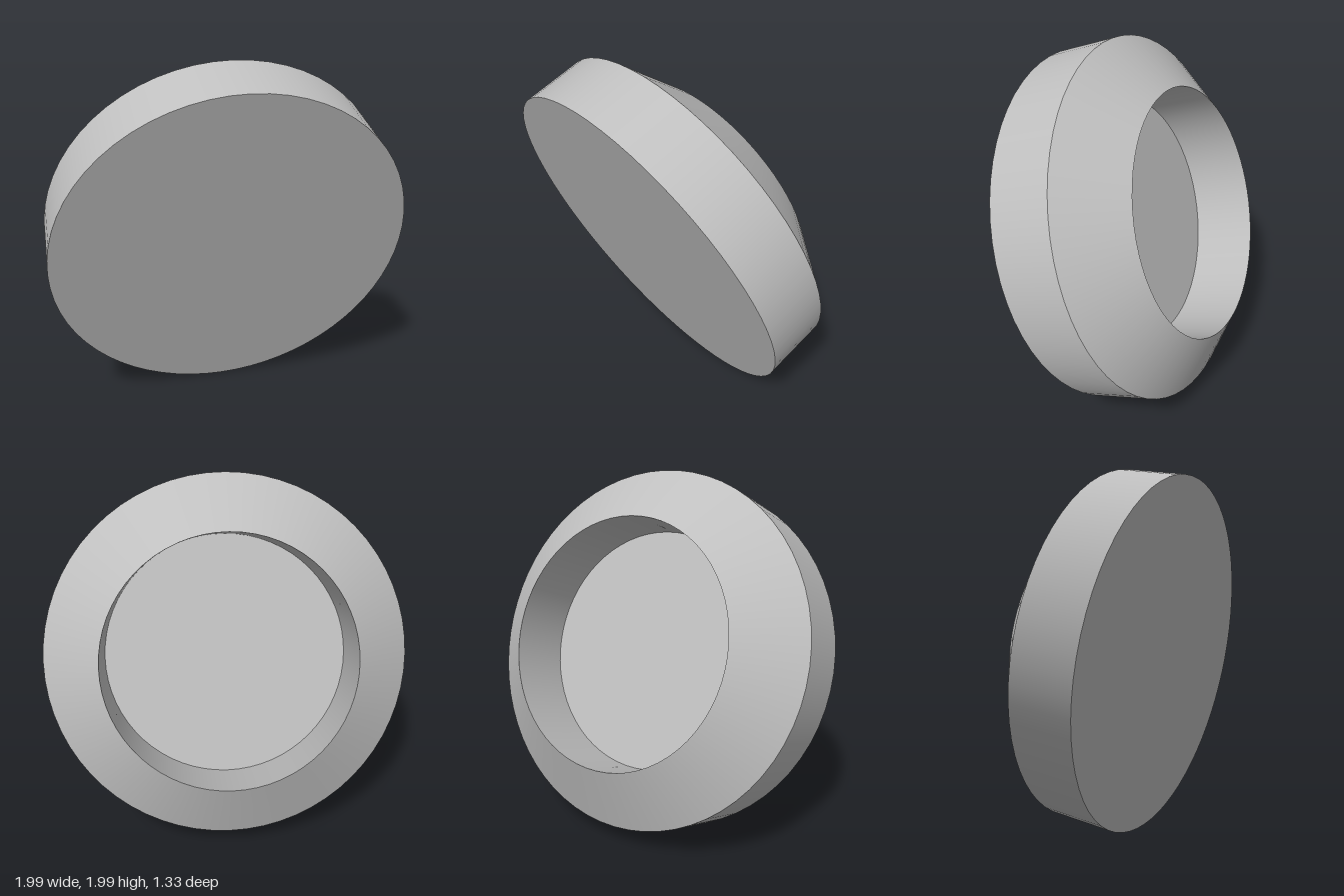
import * as THREE from 'three';

export function createModel() {
  const model = new THREE.Group();
  const grey = new THREE.MeshStandardMaterial({ color: 0xbfbfbf });
  grey.name = 'light grey';

  // Each band is one straight [radius, height] run, so edges between bands stay sharp
  const bands = [
    ['baseDisc', [0, 0], [1, 0]],
    ['outerWall', [1, 0], [1, 0.345]],
    ['bevel', [1, 0.345], [0.68, 0.585]],
    ['recessWall', [0.68, 0.585], [0.68, 0.22]],
    ['recessFloor', [0.68, 0.22], [0, 0.22]],
  ];

  const ring = new THREE.Group();
  ring.name = 'bevelledRing';
  for (const [name, a, b] of bands) {
    const profile = [new THREE.Vector2(...a), new THREE.Vector2(...b)];
    const mesh = new THREE.Mesh(new THREE.LatheGeometry(profile, 64), grey);
    mesh.name = name;
    ring.add(mesh);
  }

  // Tilt the axis so the recess opens to the back, up and to one side
  const axis = new THREE.Vector3(0.345, 0.35, -0.871).normalize();
  ring.quaternion.setFromUnitVectors(new THREE.Vector3(0, 1, 0), axis);
  ring.position.set(-0.06, 0.94, 0.18);
  model.add(ring);
  return model;
}
